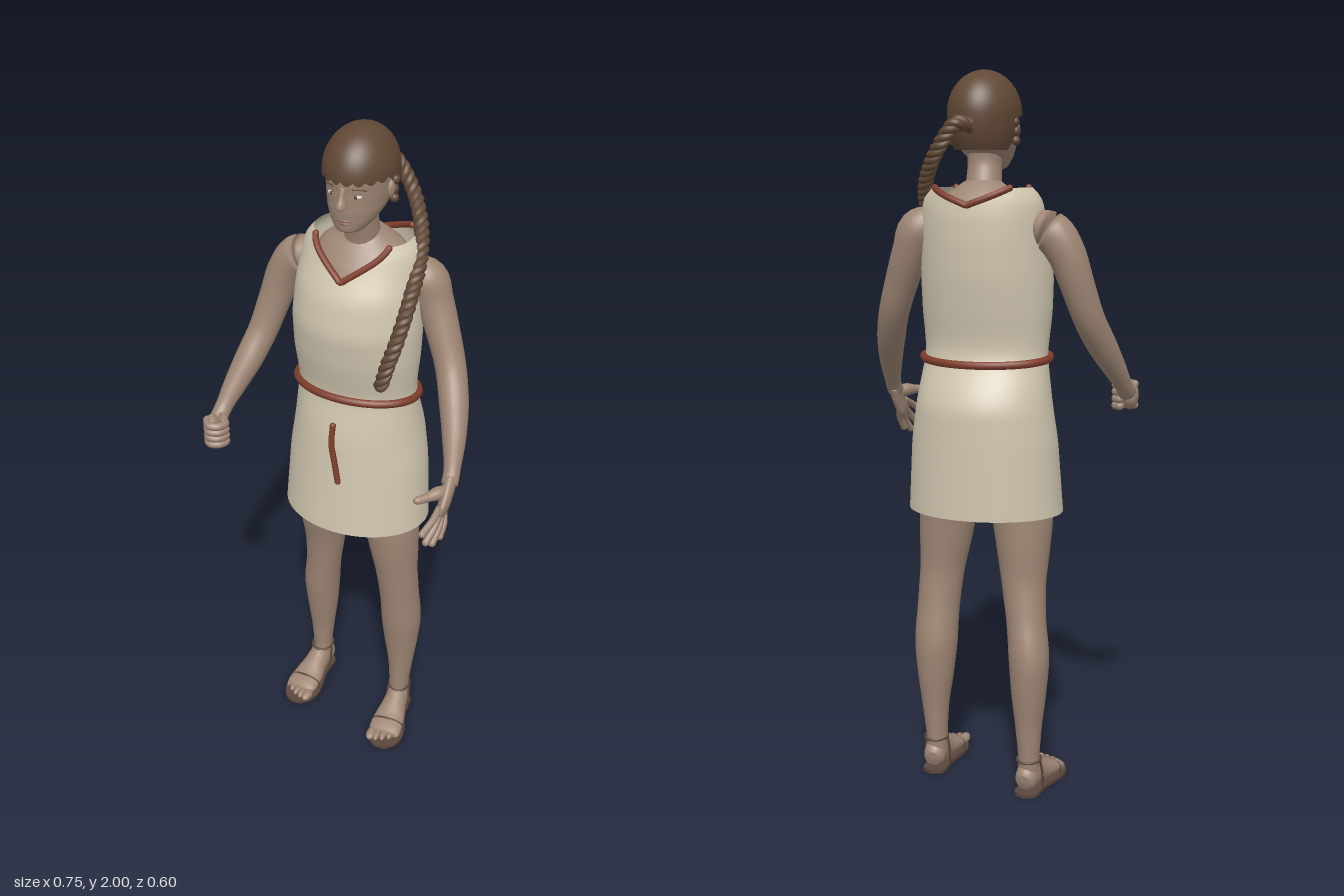
import * as THREE from 'three';

const mat = (name, color, side = THREE.FrontSide) => {
  const m = new THREE.MeshStandardMaterial({ color, side });
  m.name = name;
  return m;
};
const V = (x, y, z) => new THREE.Vector3(x, y, z);

export function createModel() {
  const skin = mat('skin', 0x9e8674), cloth = mat('linen', 0xd1c7b0, THREE.DoubleSide);
  const hair = mat('hair', 0x614835, THREE.DoubleSide), red = mat('red cord', 0x7f3d2b);
  const leather = mat('leather', 0x5a463b), white = mat('eye white', 0xcfc7bc);
  const dark = mat('iris', 0x43352b), lip = mat('lips', 0x8c665a);
  const model = new THREE.Group();
  model.name = 'woman';

  const add = (parent, name, geo, material, p = [0, 0, 0], s = [1, 1, 1]) => {
    const mesh = new THREE.Mesh(geo, material);
    mesh.name = name;
    mesh.position.set(...p);
    mesh.scale.set(...s);
    parent.add(mesh);
    return mesh;
  };
  const group = (name, x, z, yaw) => {
    const g = new THREE.Group();
    g.name = name;
    g.position.set(x, 0, z);
    g.rotation.y = yaw;
    model.add(g);
    return g;
  };
  const ball = (parent, name, material, p, s) =>
    add(parent, name, new THREE.SphereGeometry(1, 20, 14), material, p, s);

  // surface wrapped around an axis; fn(v, angle) gives each point
  const wrap = (n, m, fn) => {
    const pos = [], idx = [];
    for (let i = 0; i <= n; i++) for (let j = 0; j < m; j++) {
      const p = fn(i / n, (j / m) * Math.PI * 2);
      pos.push(p.x, p.y, p.z);
      if (i === n) continue;
      const a = i * m + j, b = i * m + ((j + 1) % m);
      idx.push(a, b, a + m, b, b + m, a + m);
    }
    const g = new THREE.BufferGeometry();
    g.setAttribute('position', new THREE.Float32BufferAttribute(pos, 3));
    g.setIndex(idx);
    g.computeVertexNormals();
    return g;
  };

  // closed limb through rows of [x, y, z, radius, radius]
  const limb = (rows, flat = false) => {
    const path = new THREE.CatmullRomCurve3(rows.map(r => V(r[0], r[1], r[2])));
    const size = new THREE.CatmullRomCurve3(rows.map(r => V(r[3], r[4] ?? r[3], 0)));
    return wrap(40, 24, (v, a) => {
      const T = flat ? V(0, 1, 0) : path.getTangent(v);
      const ref = Math.abs(T.x) > 0.85 ? V(0, 1, 0) : V(1, 0, 0);
      const U = ref.addScaledVector(T, -T.dot(ref)).normalize();
      const W = T.clone().cross(U), r = size.getPoint(v), end = v === 0 || v === 1 ? 0 : 1;
      return path.getPoint(v)
        .addScaledVector(U, r.x * Math.cos(a) * end).addScaledVector(W, r.y * Math.sin(a) * end);
    });
  };
  const tube = (pts, r, closed = false, n = 60) =>
    new THREE.TubeGeometry(new THREE.CatmullRomCurve3(pts, closed), n, r, 8, closed);
  const cord = (parent, name, pts, r, material) => {
    add(parent, name, tube(pts, r), material);
    for (const p of [pts[0], pts[pts.length - 1]]) ball(parent, name + 'End', material, p.toArray(), [r, r, r]);
  };

  // ---- tunic: rows of height, half width, half depth, centre z
  const body = group('torso', 0.055, -0.11, -0.3);
  const rows = [[0.8, 0.221, 0.172, -0.005], [1.0, 0.208, 0.164, -0.013], [1.1, 0.193, 0.16, -0.016],
    [1.15, 0.186, 0.147, -0.01], [1.2, 0.179, 0.128, -0.002], [1.24, 0.174, 0.117, 0.003],
    [1.29, 0.178, 0.124, 0.008], [1.35, 0.184, 0.137, 0.01], [1.45, 0.186, 0.152, 0.01],
    [1.55, 0.18, 0.147, -0.002], [1.62, 0.172, 0.129, -0.02], [1.67, 0.164, 0.115, -0.026], [1.7, 0.126, 0.112, -0.028]];
  const between = (y, c) => {
    let i = 0;
    while (i < rows.length - 2 && y > rows[i + 1][0]) i++;
    return THREE.MathUtils.mapLinear(y, rows[i][0], rows[i + 1][0], rows[i][c], rows[i + 1][c]);
  };
  const section = y => [1, 2, 3].map(c =>
    [-0.02, -0.01, 0, 0.01, 0.02].reduce((sum, d) => sum + between(y + d, c) / 5, 0));
  const onTunic = (a, y, out = 0) => {
    const [w, d, z] = section(y);
    return V((w + out) * Math.sin(a), y, z + (d + out) * Math.cos(a));
  };
  // V-shaped neckline, deep in front and shallow behind
  const neckY = a => {
    const low = Math.cos(a) > 0 ? 1.6 : 1.645;
    return low + (1.69 - low) * Math.min(1, Math.abs(Math.sin(a)) / 0.75);
  };
  add(body, 'tunic', wrap(60, 72, (v, a) => onTunic(a, 0.8 + (neckY(a) - 0.8) * v)), cloth);
  for (const [name, mid] of [['frontNeckTrim', 0], ['backNeckTrim', Math.PI]]) {
    const pts = [];
    for (let i = -10; i <= 10; i++) {
      const a = mid + i * 0.084;
      pts.push(onTunic(a, neckY(a), 0.003));
    }
    cord(body, name, pts, 0.009, red);
  }
  const beltPts = [];
  for (let i = 0; i < 32; i++) {
    const a = (i / 32) * Math.PI * 2;
    const p = onTunic(a, 1.24, 0.005);
    p.y -= 0.011 * (1 - Math.cos(a));
    beltPts.push(p);
  }
  add(body, 'belt', tube(beltPts, 0.0115, true, 96), red);
  const hang = [[-0.013, 1.155], [-0.014, 1.1], [-0.002, 1.04], [0.01, 0.98]];
  cord(body, 'beltEnd', hang.map(([x, y]) => V(x, y, section(y)[1] + section(y)[2] + 0.006)), 0.009, red);
  add(body, 'chest', limb([[0, 1.42, 0, 0.14, 0.11], [0, 1.55, -0.005, 0.15, 0.122], [0, 1.62, -0.02, 0.14, 0.105],
    [0, 1.66, -0.028, 0.115, 0.086], [0, 1.685, -0.028, 0.08, 0.065], [0, 1.71, -0.02, 0.045, 0.045]], true), skin);

  // ---- head
  add(model, 'neck', limb([[0.06, 1.62, -0.13, 0.06], [0.06, 1.69, -0.115, 0.05], [0.058, 1.75, -0.1, 0.047],
    [0.058, 1.82, -0.1, 0.05]]), skin);
  const head = group('head', 0.058, -0.1, -0.32);
  add(head, 'face', limb([[0, 1.732, 0.068, 0.014, 0.014], [0, 1.743, 0.06, 0.038, 0.045], [0, 1.77, 0.04, 0.062, 0.069],
    [0, 1.8, 0.018, 0.077, 0.094], [0, 1.84, 0.002, 0.085, 0.111], [0, 1.88, 0, 0.087, 0.115],
    [0, 1.92, 0, 0.082, 0.104], [0, 1.955, 0, 0.062, 0.08], [0, 1.98, 0, 0.025, 0.03]], true), skin);
  add(head, 'nose', limb([[0, 1.808, 0.112, 0.006, 0.006], [0, 1.816, 0.114, 0.016, 0.022], [0, 1.826, 0.114, 0.014, 0.021],
    [0, 1.845, 0.11, 0.009, 0.015], [0, 1.872, 0.105, 0.01, 0.01]], true), skin);
  ball(head, 'upperLip', lip, [0, 1.776, 0.105], [0.021, 0.005, 0.008]);
  ball(head, 'lowerLip', lip, [0, 1.768, 0.104], [0.018, 0.005, 0.008]);
  for (const s of [-1, 1]) {
    ball(head, 'eye', white, [s * 0.034, 1.845, 0.096], [0.014, 0.0065, 0.01]);
    ball(head, 'iris', dark, [s * 0.034, 1.845, 0.1025], [0.005, 0.005, 0.005]);
    cord(head, 'brow', [V(s * 0.016, 1.863, 0.109), V(s * 0.034, 1.867, 0.103), V(s * 0.054, 1.861, 0.086)], 0.0025, hair);
    ball(head, 'ear', skin, [s * 0.088, 1.842, 0.008], [0.01, 0.024, 0.014]);
    // small curls around the ear
    for (const [y, z, r] of [[1.862, -0.012, 0.013], [1.838, -0.004, 0.014], [1.813, -0.006, 0.013]])
      ball(head, 'earCurl', hair, [s * 0.092, y, z], [0.012, r, r]);
  }
  // hair cap with a scalloped fringe, lower behind the ears
  add(head, 'hair', wrap(24, 120, (v, a) => {
    const back = THREE.MathUtils.smoothstep(Math.abs(a > Math.PI ? a - 2 * Math.PI : a), 1.5, 1.85);
    const edge = 1.888 - 0.1 * back - 0.011 * Math.abs(Math.sin(a * 10)) * (1 - back);
    const k = (edge - 1.885) / 0.16;
    const q = Math.acos(k) * (1 - v), c = Math.cos(q), r = Math.sin(q);
    return V(0.098 * r * Math.sin(a), 1.885 + c * (c > 0 ? 0.115 : 0.16), 0.122 * r * Math.cos(a));
  }), hair);

  // ---- braid of three twisted strands, over the left shoulder
  const path = new THREE.CatmullRomCurve3([V(0.09, 1.85, -0.215), V(0.125, 1.855, -0.238), V(0.175, 1.79, -0.222),
    V(0.213, 1.71, -0.15), V(0.22, 1.64, -0.075), V(0.203, 1.56, 0.01), V(0.175, 1.46, 0.068),
    V(0.155, 1.4, 0.085), V(0.14, 1.34, 0.09)]);
  const N = 200, frames = path.computeFrenetFrames(N);
  for (let s = 0; s < 3; s++) {
    const pts = [];
    for (let i = 0; i <= N; i++) {
      const a = (i / N) * Math.PI * 2 * 10 + (s * Math.PI * 2) / 3;
      pts.push(path.getPointAt(i / N).addScaledVector(frames.normals[i], 0.0105 * Math.cos(a))
        .addScaledVector(frames.binormals[i], 0.0105 * Math.sin(a)));
    }
    add(model, 'braidStrand', tube(pts, 0.011, false, 260), hair);
  }
  ball(model, 'braidTip', hair, [0.14, 1.34, 0.09], [0.017, 0.014, 0.017]);

  // ---- arms
  add(model, 'rightArm', limb([[-0.05, 1.57, -0.165, 0.02], [-0.09, 1.585, -0.182, 0.045], [-0.128, 1.57, -0.194, 0.056],
    [-0.163, 1.52, -0.2, 0.052], [-0.192, 1.44, -0.195, 0.047], [-0.227, 1.34, -0.172, 0.043],
    [-0.263, 1.265, -0.13, 0.041], [-0.303, 1.19, -0.082, 0.032], [-0.328, 1.14, -0.045, 0.025],
    [-0.342, 1.11, -0.01, 0.026]]), skin);
  add(model, 'leftArm', limb([[0.15, 1.57, -0.09, 0.02], [0.195, 1.59, -0.092, 0.045], [0.238, 1.575, -0.094, 0.058],
    [0.262, 1.52, -0.085, 0.052], [0.29, 1.44, -0.06, 0.047], [0.318, 1.35, -0.025, 0.043], [0.335, 1.27, 0.03, 0.041],
    [0.344, 1.19, 0.09, 0.033], [0.345, 1.115, 0.145, 0.023], [0.34, 1.085, 0.17, 0.024]]), skin);

  // closed right hand
  ball(model, 'rightPalm', skin, [-0.35, 1.105, 0.005], [0.024, 0.042, 0.038]);
  for (let i = 0; i < 4; i++) {
    const y = 1.135 - i * 0.02;
    cord(model, 'rightFinger', [V(-0.362, y, 0.012), V(-0.352, y - 0.002, 0.038), V(-0.325, y - 0.003, 0.038),
      V(-0.308, y - 0.003, 0.018), V(-0.32, y - 0.003, 0.002)], 0.0118, skin);
  }
  cord(model, 'rightThumb', [V(-0.335, 1.13, -0.025), V(-0.316, 1.138, 0.0), V(-0.312, 1.132, 0.025)], 0.012, skin);

  // open left hand
  add(model, 'leftPalm', limb([[0.344, 1.11, 0.15, 0.018, 0.024], [0.338, 1.075, 0.178, 0.018, 0.036],
    [0.329, 1.04, 0.203, 0.016, 0.04], [0.322, 1.02, 0.218, 0.011, 0.03]]), skin);
  const fingers = [[0.32, 1.05, 0.225, 0.282, 1.012, 0.293], [0.322, 1.033, 0.215, 0.292, 0.975, 0.28],
    [0.326, 1.02, 0.205, 0.308, 0.957, 0.258], [0.332, 1.02, 0.192, 0.326, 0.965, 0.235]];
  for (const [a, b, c, d, e, f] of fingers)
    cord(model, 'leftFinger', [V(a, b, c), V((a + d) / 2 + 0.005, (b + e) / 2 + 0.003, (c + f) / 2), V(d, e, f)], 0.0105, skin);
  add(model, 'leftThumb', limb([[0.34, 1.08, 0.18, 0.016], [0.315, 1.085, 0.2, 0.019], [0.288, 1.084, 0.222, 0.013],
    [0.262, 1.084, 0.24, 0.011], [0.253, 1.084, 0.246, 0.006]]), skin);

  // ---- legs
  add(model, 'rightLeg', limb([[-0.02, 0.98, -0.15, 0.09], [-0.047, 0.8, -0.165, 0.086, 0.08], [-0.051, 0.7, -0.175, 0.075, 0.072],
    [-0.053, 0.6, -0.188, 0.062, 0.06], [-0.06, 0.5, -0.205, 0.056, 0.062], [-0.068, 0.4, -0.224, 0.057, 0.07],
    [-0.068, 0.3, -0.23, 0.05, 0.06], [-0.068, 0.2, -0.232, 0.038, 0.043], [-0.069, 0.1, -0.232, 0.03, 0.037],
    [-0.07, 0.03, -0.23, 0.03, 0.036]]), skin);
  add(model, 'leftLeg', limb([[0.13, 0.98, -0.085, 0.085], [0.164, 0.8, -0.056, 0.084, 0.08], [0.176, 0.7, -0.052, 0.075, 0.072],
    [0.187, 0.6, -0.053, 0.064, 0.062], [0.197, 0.5, -0.062, 0.061, 0.061], [0.204, 0.4, -0.073, 0.062, 0.065],
    [0.206, 0.3, -0.078, 0.053, 0.056], [0.207, 0.2, -0.077, 0.039, 0.044], [0.204, 0.1, -0.076, 0.031, 0.039],
    [0.203, 0.03, -0.075, 0.031, 0.037]]), skin);

  // ---- sandalled feet, toes along local +z
  const outline = new THREE.Shape();
  outline.moveTo(0, 0.05);
  outline.splineThru([[0.032, 0.03], [0.036, -0.04], [0.056, -0.12], [0.05, -0.175], [0.015, -0.208],
    [-0.03, -0.198], [-0.056, -0.14], [-0.037, -0.04], [-0.032, 0.03], [0, 0.05]].map(p => new THREE.Vector2(...p)));
  const soleGeo = new THREE.ExtrudeGeometry(outline, { depth: 0.01, bevelEnabled: false, curveSegments: 30 });
  soleGeo.rotateX(-Math.PI / 2);
  for (const [side, x, z, yaw, s] of [['right', -0.07, -0.23, -0.35, -1], ['left', 0.206, -0.075, -0.2, 1]]) {
    const foot = group(side + 'Foot', x, z, yaw);
    add(foot, 'sole', soleGeo, leather);
    add(foot, 'foot', limb([[0, 0.042, -0.044, 0.018, 0.02], [0, 0.046, -0.03, 0.03, 0.036], [0, 0.055, 0.01, 0.034, 0.047],
      [0, 0.047, 0.05, 0.038, 0.039], [0, 0.035, 0.1, 0.048, 0.027], [0, 0.028, 0.145, 0.051, 0.019],
      [0, 0.024, 0.17, 0.04, 0.013]]), skin);
    for (let i = 0; i < 5; i++)
      ball(foot, 'toe', skin, [s * (-0.037 + i * 0.0195), 0.023, 0.177 - i * i * 0.0022],
        [i ? 0.01 : 0.015, i ? 0.012 : 0.014, 0.027]);
    // thin straps over the toes and around the ankle
    cord(foot, 'toeStrap', [V(-0.052, 0.01, 0.12), V(-0.045, 0.038, 0.122), V(0, 0.053, 0.125),
      V(0.045, 0.038, 0.122), V(0.052, 0.01, 0.12)], 0.004, leather);
    const ankle = add(foot, 'ankleStrap', new THREE.TorusGeometry(0.036, 0.0035, 8, 32), leather, [0, 0.1, -0.001], [0.92, 1.09, 1]);
    ankle.rotation.x = Math.PI / 2;
    for (const e of [-1, 1])
      cord(foot, 'sideStrap', [V(e * 0.033, 0.1, 0), V(e * 0.036, 0.06, 0.01), V(e * 0.035, 0.01, 0.02)], 0.0035, leather);
  }
  return model;
}
